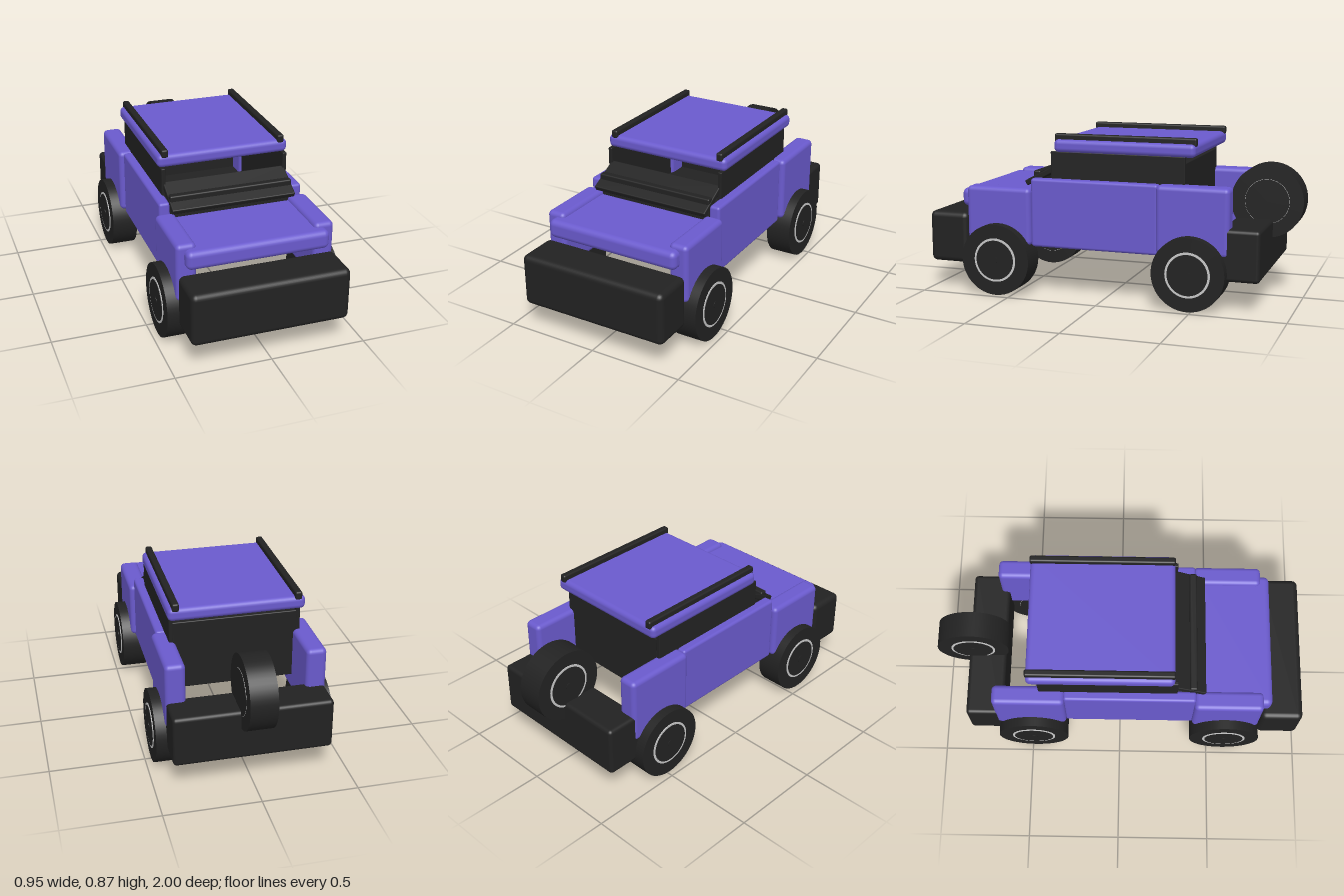
import * as THREE from 'three';
import { RoundedBoxGeometry } from 'three/addons/geometries/RoundedBoxGeometry.js';

export function createModel() {
  const model = new THREE.Group();
  const paint = new THREE.MeshStandardMaterial({ color: 0x6a5acd });
  paint.name = 'purple paint';
  const black = new THREE.MeshStandardMaterial({ color: 0x222222 });
  black.name = 'black trim';
  const silver = new THREE.MeshStandardMaterial({ color: 0xc8c8c8 });
  silver.name = 'silver rim';

  // Rounded block given by its limits on each axis
  function block(name, mat, [x0, x1], [y0, y1], [z0, z1], r = 0.02) {
    const geo = new RoundedBoxGeometry(x1 - x0, y1 - y0, z1 - z0, 3, r);
    const mesh = new THREE.Mesh(geo, mat);
    mesh.name = name;
    mesh.position.set((x0 + x1) / 2, (y0 + y1) / 2, (z0 + z1) / 2);
    model.add(mesh);
    return mesh;
  }

  // Same block on both sides of the car
  function pair(name, mat, [x0, x1], y, z, r) {
    block(name + 'Left', mat, [x0, x1], y, z, r);
    block(name + 'Right', mat, [-x1, -x0], y, z, r);
  }

  // Wheel along x: tyre, silver rim ring and black hub; side is the outer direction
  function wheel(name, x, y, z, side) {
    const group = new THREE.Group();
    group.name = name;
    const disc = (part, mat, r, from, to) => {
      const mesh = new THREE.Mesh(new THREE.CylinderGeometry(r, r, to - from, 48), mat);
      mesh.name = part;
      mesh.rotation.z = -Math.PI / 2;
      mesh.position.x = (from + to) / 2;
      group.add(mesh);
    };
    disc('tyre', black, 0.193, -0.07, 0.07);
    disc('rimRing', silver, 0.119, -0.071, 0.073);
    disc('hub', black, 0.107, 0.06, 0.0745);
    disc('innerHub', black, 0.1175, -0.0725, -0.06);
    disc('hubCap', black, 0.018, 0.06, 0.077);
    group.position.set(x, y, z);
    if (side < 0) group.rotation.y = Math.PI;
    model.add(group);
  }

  // Bumpers
  block('frontBumper', black, [-0.412, 0.412], [0.15, 0.43], [0.772, 1.0], 0.03);
  block('rearBumper', black, [-0.41, 0.41], [0.16, 0.43], [-0.84, -0.635], 0.02);

  // Painted body
  block('hood', paint, [-0.375, 0.375], [0.46, 0.56], [0.4, 0.82], 0.03);
  pair('frontFender', paint, [0.31, 0.415], [0.27, 0.582], [0.4, 0.77], 0.025);
  pair('door', paint, [0.33, 0.39], [0.265, 0.635], [-0.3, 0.405], 0.015);
  pair('rearFender', paint, [0.31, 0.415], [0.28, 0.637], [-0.682, -0.295], 0.025);
  block('roof', paint, [-0.357, 0.357], [0.775, 0.845], [-0.487, 0.285], 0.025);
  pair('roofRail', black, [0.3, 0.336], [0.83, 0.874], [-0.49, 0.286], 0.01);

  // Dark cabin
  pair('sideWindow', black, [0.323, 0.345], [0.4, 0.78], [-0.433, 0.305], 0.005);
  block('rearWindow', black, [-0.327, 0.327], [0.38, 0.745], [-0.433, -0.405], 0.005);
  block('floor', black, [-0.332, 0.332], [0.37, 0.41], [-0.433, 0.405], 0.005);
  block('firewall', black, [-0.332, 0.332], [0.37, 0.67], [0.37, 0.41], 0.008);
  const screen = block('windscreen', black, [-0.335, 0.335], [0.63, 0.66], [0.27, 0.465], 0.006);
  screen.position.y = 0.645;
  screen.rotation.x = 0.48;

  // Wheels and spare
  for (const side of [1, -1]) {
    const label = side > 0 ? 'Left' : 'Right';
    wheel('frontWheel' + label, side * 0.396, 0.194, 0.585, side);
    wheel('rearWheel' + label, side * 0.396, 0.194, -0.482, side);
  }
  wheel('spareWheel', -0.002, 0.525, -0.807, -1);

  return model;
}
